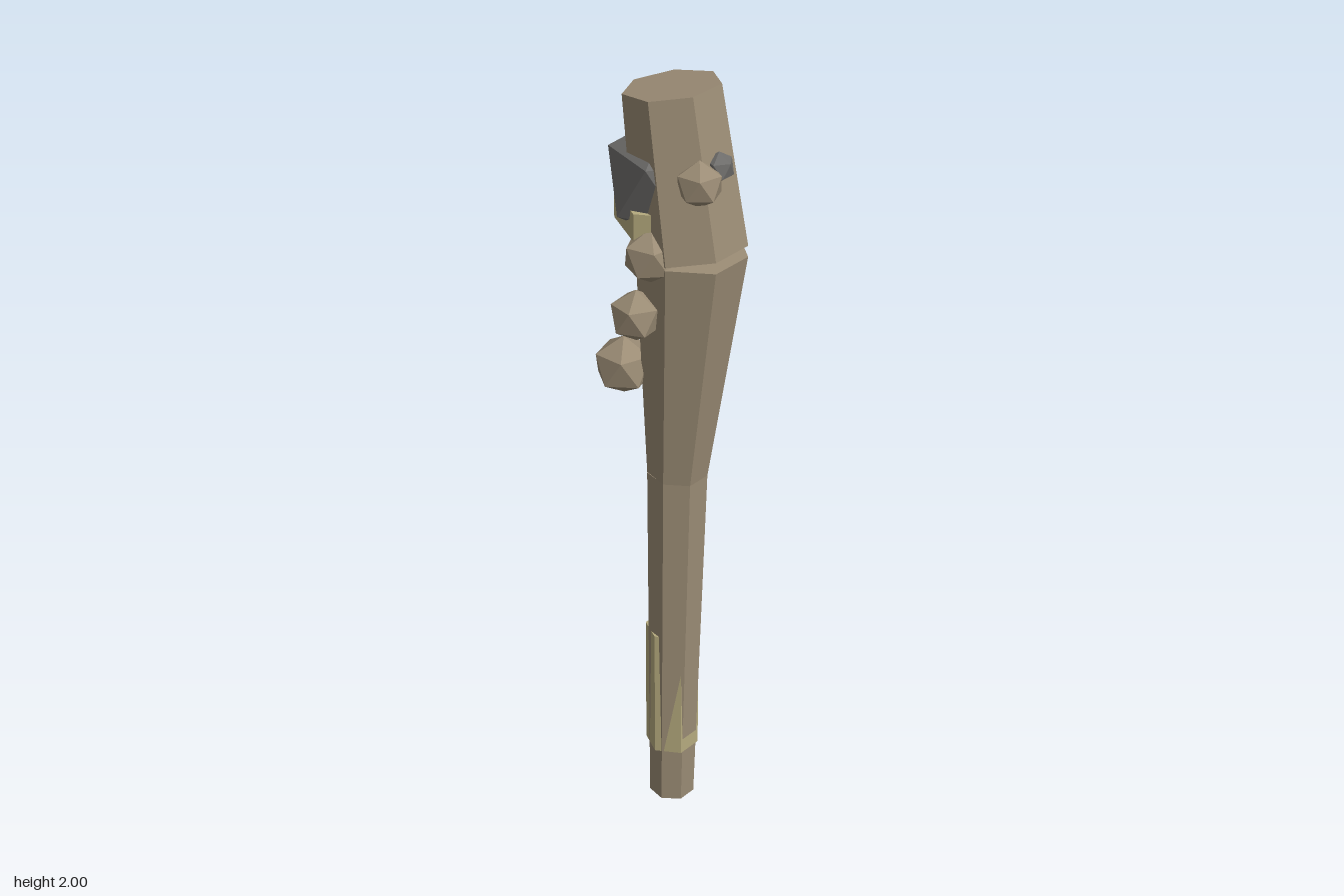
import * as THREE from 'three';

const flat = (name, color) => {
  const m = new THREE.MeshStandardMaterial({ color, flatShading: true });
  m.name = name;
  return m;
};

export function createModel() {
  const wood = flat('wood', 0x9b8c75);
  const binding = flat('binding', 0xb5aa7e);
  const stone = flat('stone', 0x6e6d6b);
  const group = new THREE.Group();
  group.name = 'club';
  const UP = new THREE.Vector3(0, 1, 0);
  const AXIS_Z = -0.02;

  const add = (name, geometry, material, x, y, z) => {
    const mesh = new THREE.Mesh(geometry, material);
    mesh.name = name;
    mesh.position.set(x, y, z);
    group.add(mesh);
    return mesh;
  };

  // Seven-sided tapered length of wood running between two points
  const segment = (name, [x0, y0, r0], [x1, y1, r1]) => {
    const a = new THREE.Vector3(x0, y0, AXIS_Z), b = new THREE.Vector3(x1, y1, AXIS_Z);
    const geo = new THREE.CylinderGeometry(r1, r0, a.distanceTo(b), 7, 1, false, -Math.PI / 2);
    const c = a.clone().lerp(b, 0.5);
    const mesh = add(name, geo, wood, c.x, c.y, c.z);
    mesh.quaternion.setFromUnitVectors(UP, b.sub(a).normalize());
  };
  segment('handle', [-0.017, 0.001, 0.058], [0.001, 0.98, 0.075]);
  segment('neck', [0.001, 0.98, 0.075], [0.044, 1.599, 0.133]);
  segment('head', [0.045, 1.6, 0.133], [-0.016, 1.984, 0.116]);

  // Six-sided wrapped bindings
  const wrap = (name, r, y0, y1, x) =>
    add(name, new THREE.CylinderGeometry(r, r, y1 - y0, 6), binding, x, (y0 + y1) / 2, AXIS_Z);
  wrap('gripBinding', 0.0675, 0.157, 0.514, -0.0165);
  wrap('headBinding', 0.1375, 1.645, 1.715, -0.0145);

  // Twenty-sided lump standing on one of its points
  const lump = (name, material, r, x, y, z, turn = 0) => {
    const geo = new THREE.IcosahedronGeometry(r, 0);
    geo.rotateZ(-Math.atan(2 / (1 + Math.sqrt(5)))).rotateY(turn);
    add(name, geo, material, x, y, z);
  };
  lump('largeStone', stone, 0.157, -0.024, 1.76, AXIS_Z);
  lump('smallStone', stone, 0.038, 0.122, 1.825, AXIS_Z);

  // Knots in the wood
  [
    [0.076, -0.1, 1.272, 0.058, 0.3],
    [0.066, -0.023, 1.447, 0.1, 0.1],
    [0.069, 0.015, 1.61, 0.09, 0.5],
    [0.058, 0.112, 1.8, 0.036, 0.4],
  ].forEach(([r, x, y, z, turn], i) => lump('knot' + (i + 1), wood, r, x, y, z, turn));

  return group;
}
